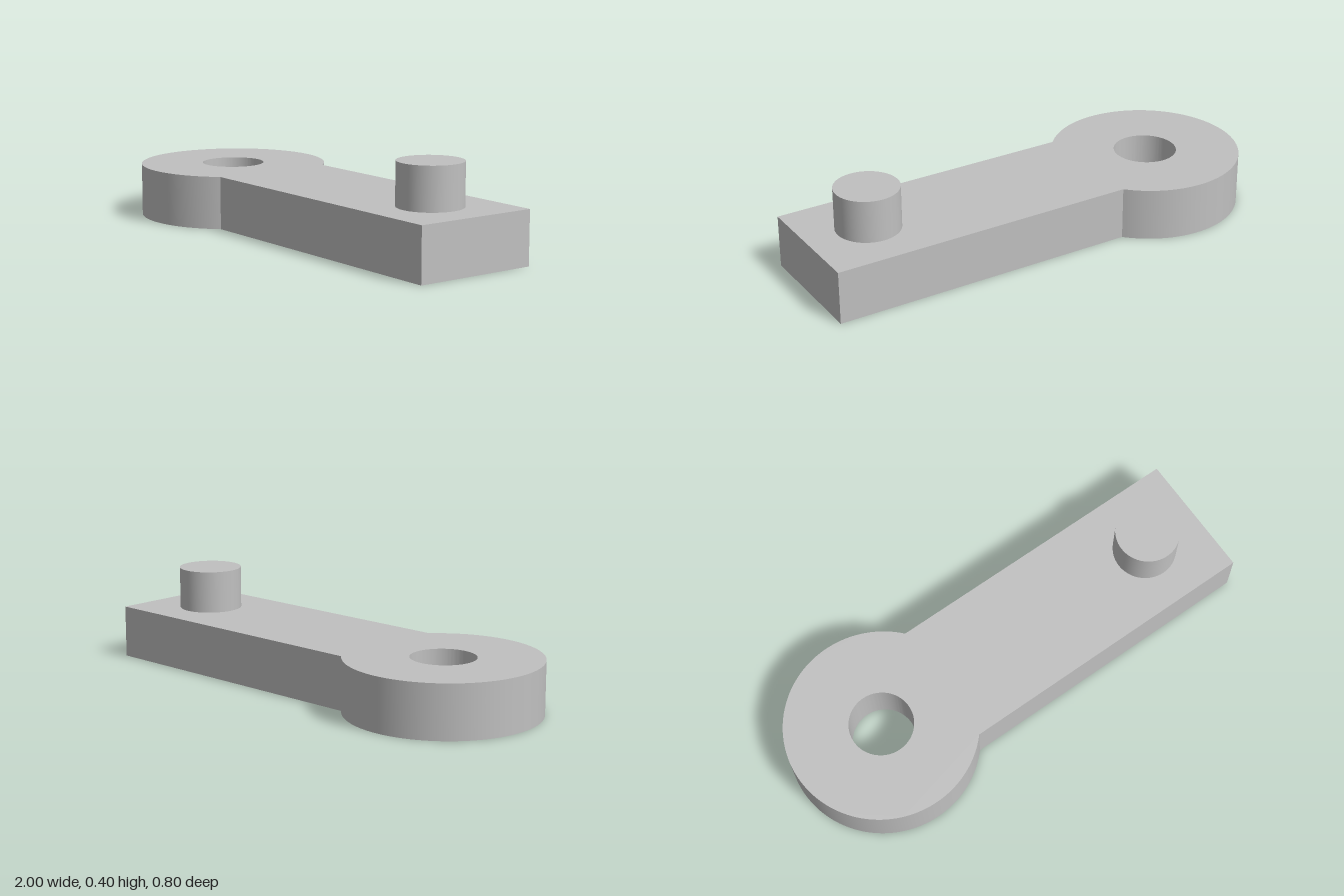
import * as THREE from 'three';
import { toCreasedNormals } from 'three/addons/utils/BufferGeometryUtils.js';

export function createModel() {
  const group = new THREE.Group();
  group.name = 'crankArm';
  const grey = new THREE.MeshStandardMaterial({ color: 0xc0c0c0 });
  grey.name = 'plain grey';

  const thickness = 0.2222, eyeX = -0.6, eyeRadius = 0.4;
  const halfWidth = 0.2667, boreRadius = 0.1333;

  // Arm outline: straight bar running into a round eye, with a through bore
  const a = Math.asin(halfWidth / eyeRadius);
  const outline = new THREE.Shape();
  outline.moveTo(1, -halfWidth);
  outline.lineTo(1, halfWidth);
  outline.absarc(eyeX, 0, eyeRadius, a, Math.PI * 2 - a, false);
  outline.closePath();
  const bore = new THREE.Path();
  bore.absarc(eyeX, 0, boreRadius, 0, Math.PI * 2, true);
  outline.holes.push(bore);

  const armGeometry = new THREE.ExtrudeGeometry(outline, {
    depth: thickness, bevelEnabled: false, curveSegments: 64,
  });
  armGeometry.rotateX(-Math.PI / 2);
  const arm = new THREE.Mesh(toCreasedNormals(armGeometry, 0.5), grey);
  arm.name = 'armWithEye';
  group.add(arm);

  // Upright pin near the square end
  const pinHeight = 0.4 - thickness;
  const pin = new THREE.Mesh(new THREE.CylinderGeometry(0.1333, 0.1333, pinHeight, 64), grey);
  pin.name = 'pin';
  pin.position.set(0.7333, thickness + pinHeight / 2, 0);
  group.add(pin);

  return group;
}
